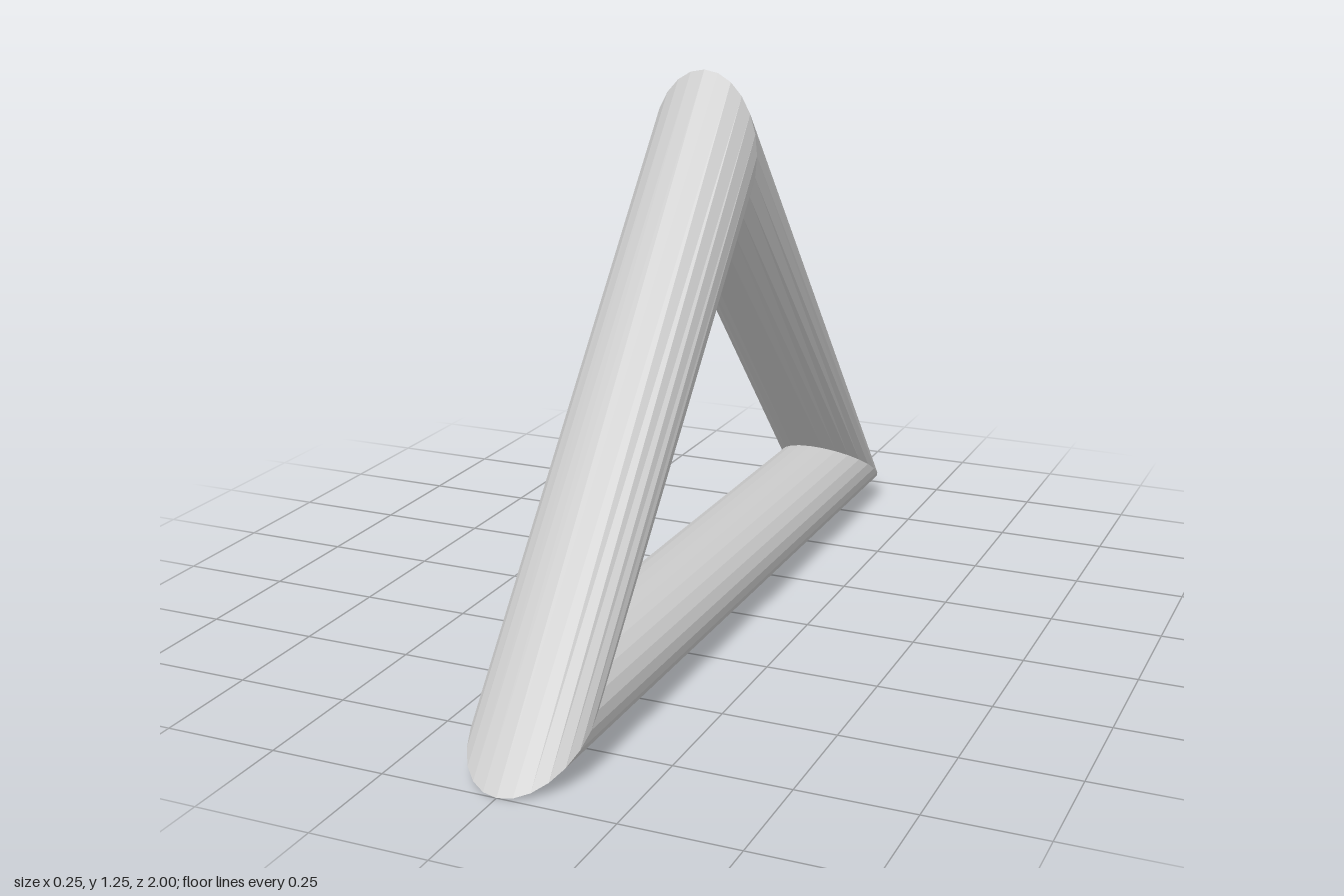
import * as THREE from 'three';

const SIDES = 24;
const HALF_WIDTH = 0.123;

// Mitre ellipse at a corner, spanning its outer and inner points (z, y)
function mitreRing(outer, inner) {
  const ring = [];
  for (let i = 0; i < SIDES; i++) {
    const a = (i / SIDES) * Math.PI * 2;
    const t = (1 - Math.cos(a)) / 2;
    ring.push([
      HALF_WIDTH * Math.sin(a),
      outer[1] + (inner[1] - outer[1]) * t,
      outer[0] + (inner[0] - outer[0]) * t,
    ]);
  }
  return ring;
}

// Straight bar lofted between two mitre ellipses
function barGeometry(a, b) {
  const positions = [];
  for (let i = 0; i < SIDES; i++) {
    const j = (i + 1) % SIDES;
    positions.push(...a[i], ...a[j], ...b[j], ...a[i], ...b[j], ...b[i]);
  }
  const geometry = new THREE.BufferGeometry();
  geometry.setAttribute('position', new THREE.Float32BufferAttribute(positions, 3));
  geometry.computeVertexNormals();
  return geometry;
}

export function createModel() {
  const group = new THREE.Group();
  group.name = 'triangleFrame';
  const material = new THREE.MeshStandardMaterial({ color: 0xcccccc, flatShading: true });

  // Corners in order: front, top, back
  const rings = [
    mitreRing([1, 0], [0.687, 0.185]),
    mitreRing([0.008, 1.245], [0.008, 0.885]),
    mitreRing([-1, 0], [-0.69, 0.185]),
  ];

  ['frontBar', 'backBar', 'bottomBar'].forEach((name, i) => {
    const bar = new THREE.Mesh(barGeometry(rings[i], rings[(i + 1) % 3]), material);
    bar.name = name;
    group.add(bar);
  });
  return group;
}
